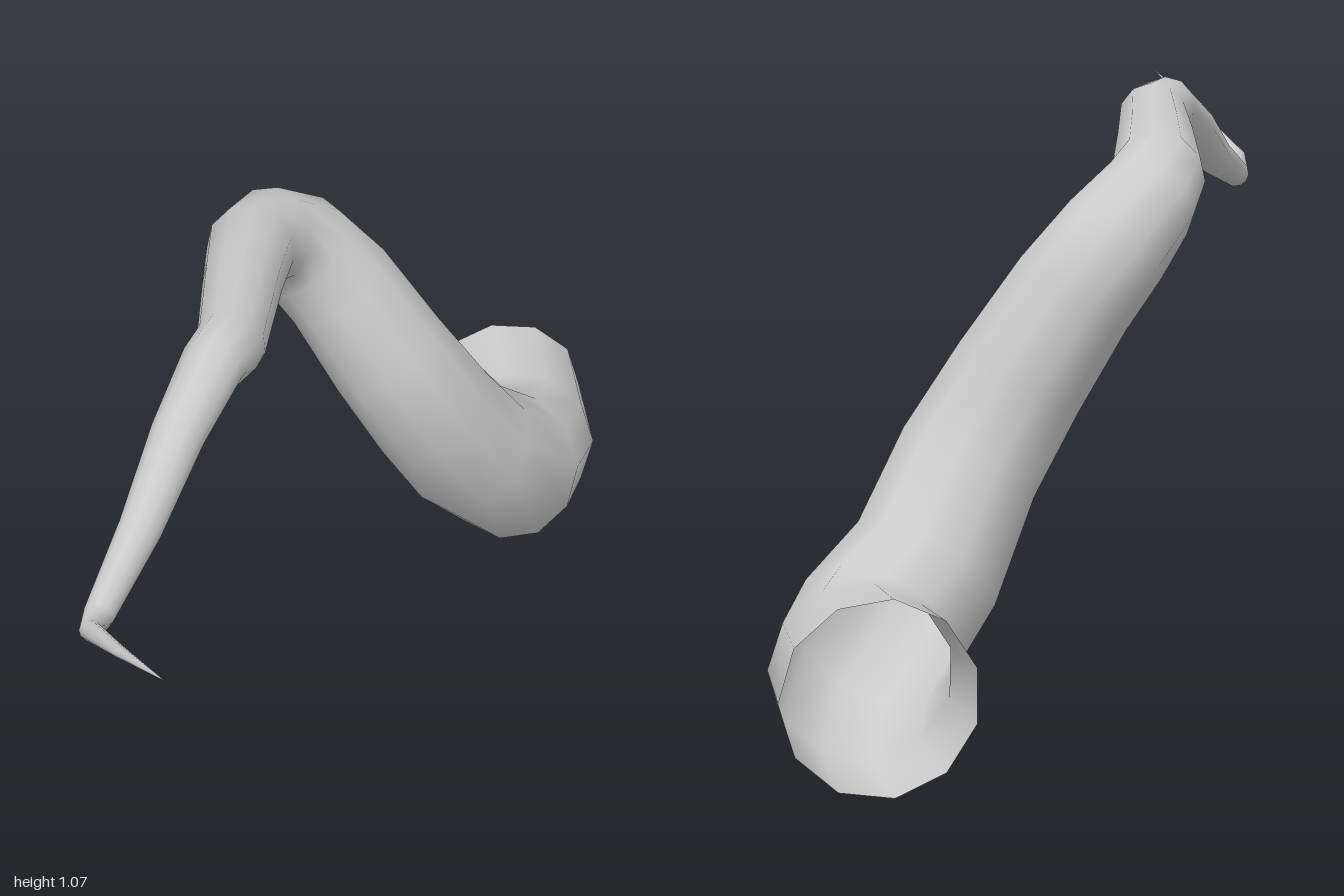
import * as THREE from 'three';

const SIDES = 11;

// Centre line from the open root to the pointed tip: x, y, z, radius
const SECTIONS = [
  [0.417, 0.162, -1.0, 0.164],
  [0.418, 0.166, -0.8, 0.153],
  [0.375, 0.2, -0.67, 0.148],
  [0.28, 0.3, -0.605, 0.137],
  [0.19, 0.46, -0.52, 0.128],
  [0.1, 0.605, -0.51, 0.12],
  [0.01, 0.75, -0.535, 0.111],
  [-0.06, 0.837, -0.535, 0.104],
  [-0.125, 0.897, -0.485, 0.092],
  [-0.17, 0.932, -0.39, 0.083],
  [-0.205, 0.967, -0.22, 0.073],
  [-0.255, 1.0, 0.03, 0.063],
  [-0.297, 1.01, 0.11, 0.057],
  [-0.375, 0.962, 0.25, 0.048],
  [-0.458, 0.894, 0.42, 0.038],
  [-0.545, 0.84, 0.58, 0.027],
  [-0.565, 0.864, 0.65, 0.018],
  [-0.53, 0.93, 0.8, 0.011],
  [-0.475, 1.015, 1.0, 0.0005],
];

// Skins round cross-sections that follow the centre line without twisting
function taperedTube(sections, sides) {
  const centres = sections.map(([x, y, z]) => new THREE.Vector3(x, y, z));
  const last = centres.length - 1;
  const direction = (i) => centres[i + 1].clone().sub(centres[i]).normalize();
  const positions = [];
  const indices = [];
  const across = new THREE.Vector3(1, 0, 0);

  centres.forEach((centre, i) => {
    // Each ring halves the bend between its two neighbouring spans
    const tangent = new THREE.Vector3();
    if (i === 0) tangent.set(0, 0, 1);
    else if (i === last) tangent.copy(direction(i - 1));
    else tangent.copy(direction(i - 1)).add(direction(i)).normalize();

    across.addScaledVector(tangent, -across.dot(tangent)).normalize();
    const up = new THREE.Vector3().crossVectors(tangent, across);
    for (let j = 0; j < sides; j++) {
      const angle = (j / sides) * Math.PI * 2;
      const point = centre.clone()
        .addScaledVector(across, Math.cos(angle) * sections[i][3])
        .addScaledVector(up, Math.sin(angle) * sections[i][3]);
      positions.push(point.x, point.y, point.z);
    }
  });

  for (let i = 0; i < last; i++) {
    for (let j = 0; j < sides; j++) {
      const a = i * sides + j;
      const b = i * sides + ((j + 1) % sides);
      indices.push(a, b, b + sides, a, b + sides, a + sides);
    }
  }

  const geometry = new THREE.BufferGeometry();
  geometry.setAttribute('position', new THREE.Float32BufferAttribute(positions, 3));
  geometry.setIndex(indices);
  geometry.computeVertexNormals();
  return geometry;
}

export function createModel() {
  const model = new THREE.Group();
  model.name = 'tentacle';

  // One hollow, curling skin, open at the root
  const material = new THREE.MeshStandardMaterial({ color: 0xcccccc, side: THREE.DoubleSide });
  const skin = new THREE.Mesh(taperedTube(SECTIONS, SIDES), material);
  skin.name = 'tentacleSkin';
  model.add(skin);

  return model;
}
